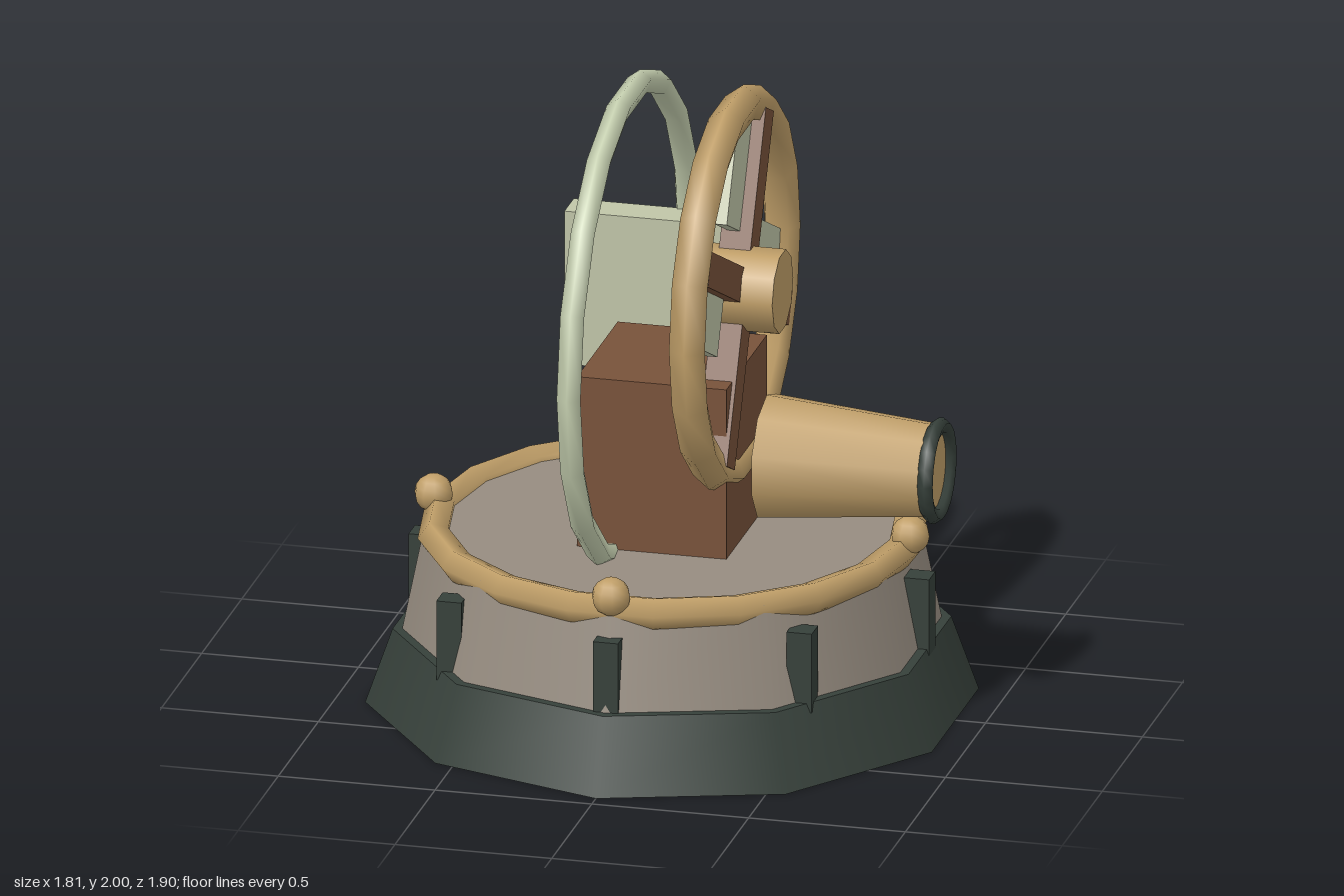
import * as THREE from 'three';

const mat = (name, color) => {
  const m = new THREE.MeshStandardMaterial({ color });
  m.name = name;
  return m;
};

export function createModel() {
  const root = new THREE.Group();
  root.name = 'observatoryMachine';

  const dark = mat('darkIron', 0x36403a);
  const stone = mat('stone', 0x968c80);
  const brass = mat('brass', 0xbf9e68);
  const wood = mat('wood', 0x78523a);
  const sage = mat('sagePanel', 0xc0c5a8);
  const pale = mat('paleHoop', 0xc6d0b0);

  const add = (parent, name, geometry, material, x = 0, y = 0, z = 0) => {
    const mesh = new THREE.Mesh(geometry, material);
    mesh.name = name;
    mesh.position.set(x, y, z);
    parent.add(mesh);
    return mesh;
  };
  const box = (w, h, d) => new THREE.BoxGeometry(w, h, d);
  // Hoops share a five-sided tube and eighteen segments
  const hoop = (radius, tube) => new THREE.TorusGeometry(radius, tube, 5, 18);

  // Ten-sided plinth and drum
  add(root, 'plinth', new THREE.CylinderGeometry(0.865, 0.95, 0.24, 10), dark, 0, 0.12, 0);
  add(root, 'drum', new THREE.CylinderGeometry(0.77, 0.835, 0.32, 10), stone, 0, 0.4, 0);

  // Buttresses around the drum
  for (let i = 0; i < 8; i++) {
    const a = (i * Math.PI) / 4;
    add(root, 'buttress', box(0.08, 0.26, 0.08), dark, 0.79 * Math.sin(a), 0.34, 0.79 * Math.cos(a));
  }

  // Rail with four ball knobs
  add(root, 'rail', hoop(0.737, 0.053).rotateX(Math.PI / 2), brass, 0, 0.545, 0);
  for (let i = 0; i < 4; i++) {
    const a = (i * Math.PI) / 2;
    add(root, 'knob', new THREE.SphereGeometry(0.061, 10, 8), brass, 0.76 * Math.sin(a), 0.598, 0.76 * Math.cos(a));
  }

  // Central housing, counterweight and large hoop
  add(root, 'housing', box(0.476, 0.58, 0.506), wood, 0, 0.828, 0);
  add(root, 'counterweight', box(0.505, 0.504, 0.116), sage, -0.24, 1.088, -0.642);
  add(root, 'largeHoop', hoop(0.742, 0.04).rotateY(Math.PI / 2), pale, -0.137, 1.23, 0);

  // Wheel with four spokes, each carrying a vane on one side
  const wheel = new THREE.Group();
  wheel.name = 'wheel';
  wheel.position.set(0.2, 1.362, 0);
  root.add(wheel);
  add(wheel, 'wheelRim', hoop(0.578, 0.06).rotateY(Math.PI / 2), brass);
  add(wheel, 'hub', new THREE.CylinderGeometry(0.132, 0.132, 0.306, 10).rotateZ(-Math.PI / 2), brass);
  for (let i = 0; i < 4; i++) {
    const arm = new THREE.Group();
    arm.name = 'wheelArm';
    arm.rotation.x = -0.45 + (i * Math.PI) / 2;
    add(arm, 'spoke', box(0.1, 0.56, 0.11), wood, 0, 0.28, 0);
    add(arm, 'vane', box(0.04, 0.34, 0.235), sage, -0.01, 0.34, 0.1175);
    wheel.add(arm);
  }

  // Telescope pointing sideways with a dark lens ring
  const barrel = new THREE.CylinderGeometry(0.15, 0.2, 0.54, 10).rotateX(Math.PI / 2).rotateY(Math.PI / 2);
  add(root, 'telescopeBarrel', barrel, brass, 0.572, 0.817, 0);
  add(root, 'lensRing', hoop(0.142, 0.026).rotateY(Math.PI / 2), dark, 0.845, 0.817, 0);

  return root;
}
